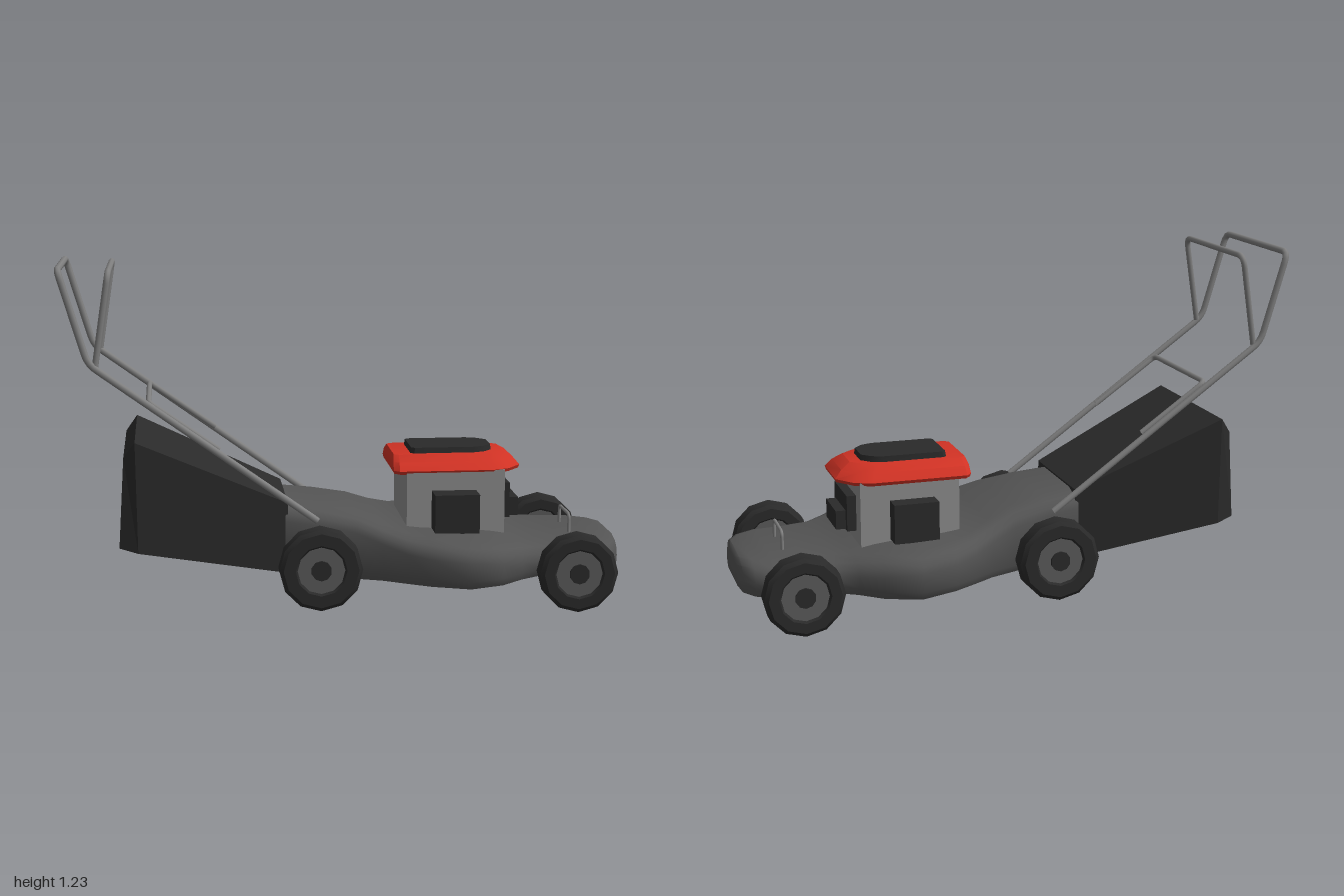
import * as THREE from 'three';
import { toCreasedNormals } from 'three/addons/utils/BufferGeometryUtils.js';

const paint = (color) => new THREE.MeshStandardMaterial({ color, side: THREE.DoubleSide });
const DECK = paint(0x545454), DARK = paint(0x2a2a2a), METAL = paint(0x808080);
const BODY = paint(0x8c8c8c), RED = paint(0xd03224), HUB = paint(0x5a5a5a);

function add(parent, name, geometry, material, x = 0, y = 0, z = 0) {
  const mesh = new THREE.Mesh(geometry, material);
  mesh.name = name;
  mesh.position.set(x, y, z);
  parent.add(mesh);
  return mesh;
}

// Box given by its lower and upper limits
function block(parent, name, material, [x0, x1], [y0, y1], [z0, z1]) {
  add(parent, name, new THREE.BoxGeometry(x1 - x0, y1 - y0, z1 - z0), material,
    (x0 + x1) / 2, (y0 + y1) / 2, (z0 + z1) / 2);
}

// Closed skin through equal-length rings, capped at both ends
function loft(rings, crease) {
  const n = rings[0].length, index = [];
  for (let i = 0; i < rings.length - 1; i++) {
    for (let j = 0; j < n; j++) {
      const a = i * n + j, b = i * n + (j + 1) % n;
      index.push(a, b, b + n, a, b + n, a + n);
    }
  }
  const last = (rings.length - 1) * n;
  for (let j = 1; j < n - 1; j++) {
    index.push(0, j + 1, j, last, last + j, last + j + 1);
  }
  const geometry = new THREE.BufferGeometry();
  geometry.setAttribute('position', new THREE.Float32BufferAttribute(rings.flat(2), 3));
  geometry.setIndex(index);
  return toCreasedNormals(geometry, crease);
}

// Bent rod through points, with rounded corners
function rod(parent, name, points, radius, bend) {
  const p = points.map((q) => new THREE.Vector3(...q));
  const path = new THREE.CurvePath();
  let from = p[0];
  for (let i = 1; i < p.length - 1; i++) {
    const before = p[i].clone().add(p[i - 1].clone().sub(p[i]).setLength(bend));
    const after = p[i].clone().add(p[i + 1].clone().sub(p[i]).setLength(bend));
    path.add(new THREE.LineCurve3(from, before));
    path.add(new THREE.QuadraticBezierCurve3(before, p[i], after));
    from = after;
  }
  path.add(new THREE.LineCurve3(from, p[p.length - 1]));
  add(parent, name, new THREE.TubeGeometry(path, 160, radius, 8), METAL);
}

// U-shaped rod: a side path in x and y, mirrored across the mower
function bail(parent, name, side, halfWidth, radius, bend, zMid = 0) {
  const left = side.map(([x, y]) => [x, y, zMid + halfWidth]);
  const right = side.map(([x, y]) => [x, y, zMid - halfWidth]).reverse();
  rod(parent, name, [...left, ...right], radius, bend);
}

function wheel(name, radius, x, y, z) {
  const group = new THREE.Group();
  group.name = name;
  const w = 0.042, r = radius;
  const profile = [[0.08, -0.03], [0.09, -w], [r - 0.014, -w], [r, -w + 0.012],
    [r, w - 0.012], [r - 0.014, w], [0.09, w], [0.08, 0.03]].map((q) => new THREE.Vector2(...q));
  add(group, 'tyre', toCreasedNormals(new THREE.LatheGeometry(profile, 12), 0.6), DARK);
  add(group, 'hub', new THREE.CylinderGeometry(0.083, 0.083, 0.068, 12), HUB);
  add(group, 'hubCap', new THREE.CylinderGeometry(0.036, 0.036, 0.082, 10), DARK);
  group.rotation.x = Math.PI / 2;
  group.position.set(x, y, z);
  return group;
}

export function createModel() {
  const mower = new THREE.Group();
  mower.name = 'lawnMower';

  // Cutting deck: x, half width, top, bottom
  const stations = [
    [-0.22, 0.215, 0.38, 0.14], [-0.1, 0.23, 0.365, 0.125], [0.03, 0.25, 0.34, 0.11],
    [0.12, 0.285, 0.305, 0.11], [0.2, 0.335, 0.28, 0.11], [0.28, 0.382, 0.27, 0.11],
    [0.41, 0.43, 0.265, 0.11], [0.53, 0.388, 0.252, 0.11], [0.61, 0.32, 0.238, 0.11],
    [0.68, 0.278, 0.23, 0.11], [0.78, 0.268, 0.226, 0.11], [0.88, 0.265, 0.224, 0.11],
    [0.95, 0.23, 0.222, 0.11], [0.985, 0.18, 0.22, 0.112], [0.996, 0.125, 0.208, 0.12],
  ];
  const deckRings = stations.map(([x, w, top, bottom]) => {
    const half = [[w - 0.08, top], [w - 0.03, top - 0.015], [w - 0.007, top - 0.035],
      [w, top - 0.06], [w, bottom + 0.03], [w - 0.02, bottom]];
    return [...half.map(([z, y]) => [x, y, z]),
      ...half.slice().reverse().map(([z, y]) => [x, y, -z])];
  });
  add(mower, 'deck', loft(deckRings, 0.9), DECK);

  // Grass bag: each ring is top x, top y, bottom x, bottom y, half width
  const bagRings = [
    [-0.8, 0.25, -0.78, 0.57, 0.262],
    [-0.735, 0.235, -0.74, 0.625, 0.285],
    [-0.21, 0.132, -0.21, 0.385, 0.208],
  ].map(([bx, by, tx, ty, w]) => [[tx, ty, w], [bx, by, w], [bx, by, -w], [tx, ty, -w]]);
  add(mower, 'grassBag', loft(bagRings, 0.1), DARK);

  // Engine
  const engine = new THREE.Group();
  engine.name = 'engine';
  mower.add(engine);
  block(engine, 'engineBody', BODY, [0.22, 0.575], [0.235, 0.475], [-0.197, 0.147]);
  block(engine, 'leftMuffler', DARK, [0.31, 0.47], [0.265, 0.405], [0.13, 0.232]);
  block(engine, 'rightMuffler', DARK, [0.31, 0.47], [0.265, 0.405], [-0.262, -0.18]);
  block(engine, 'frontHousing', DARK, [0.56, 0.608], [0.285, 0.413], [-0.128, 0.076]);
  block(engine, 'airFilter', DARK, [0.6, 0.643], [0.288, 0.355], [-0.105, 0.058]);

  // Engine cover plan, blunt at the back and chamfered at the front
  const plan = [[0, 0.16], [0.02, 0.182], [0.36, 0.182], [0.42, 0.155], [0.47, 0.09],
    [0.47, -0.09], [0.42, -0.155], [0.36, -0.182], [0.02, -0.182], [0, -0.16]];
  const coverRing = (y, x0, sx, sz) => plan.map(([x, z]) => [x0 + x * sx, y, -0.032 + z * sz]);
  add(engine, 'engineCover', loft([
    coverRing(0.465, 0.178, 0.985, 0.97), coverRing(0.477, 0.175, 1, 1),
    coverRing(0.505, 0.177, 0.945, 0.86), coverRing(0.526, 0.182, 0.86, 0.64),
  ], 0.5), RED);
  add(engine, 'starterCap', loft([
    coverRing(0.52, 0.244, 0.645, 0.54), coverRing(0.546, 0.248, 0.63, 0.52),
  ], 0.5), DARK);

  // Wheels and axles
  for (const side of [1, -1]) {
    const label = side > 0 ? 'left' : 'right';
    mower.add(wheel(label + 'FrontWheel', 0.14, 0.805, 0.14, side * 0.322));
    mower.add(wheel(label + 'RearWheel', 0.146, -0.105, 0.174, side * 0.313));
  }
  for (const [name, x, y] of [['frontAxle', 0.805, 0.14], ['rearAxle', -0.105, 0.174]]) {
    add(mower, name, new THREE.CylinderGeometry(0.018, 0.018, 0.6, 8), DARK, x, y, 0)
      .rotation.x = Math.PI / 2;
  }

  // Push handle, brake bail, brace and front grip
  bail(mower, 'pushHandle', [[-0.11, 0.33], [-0.893, 0.895], [-0.987, 1.214]], 0.257, 0.012, 0.035);
  bail(mower, 'brakeBail', [[-0.868, 0.885], [-0.818, 1.206]], 0.25, 0.011, 0.04);
  bail(mower, 'handleBrace', [[-0.45, 0.585], [-0.69, 0.755]], 0.23, 0.01, 0.025);
  bail(mower, 'frontGrip', [[0.83, 0.215], [0.83, 0.29]], 0.077, 0.006, 0.02);

  return mower;
}
